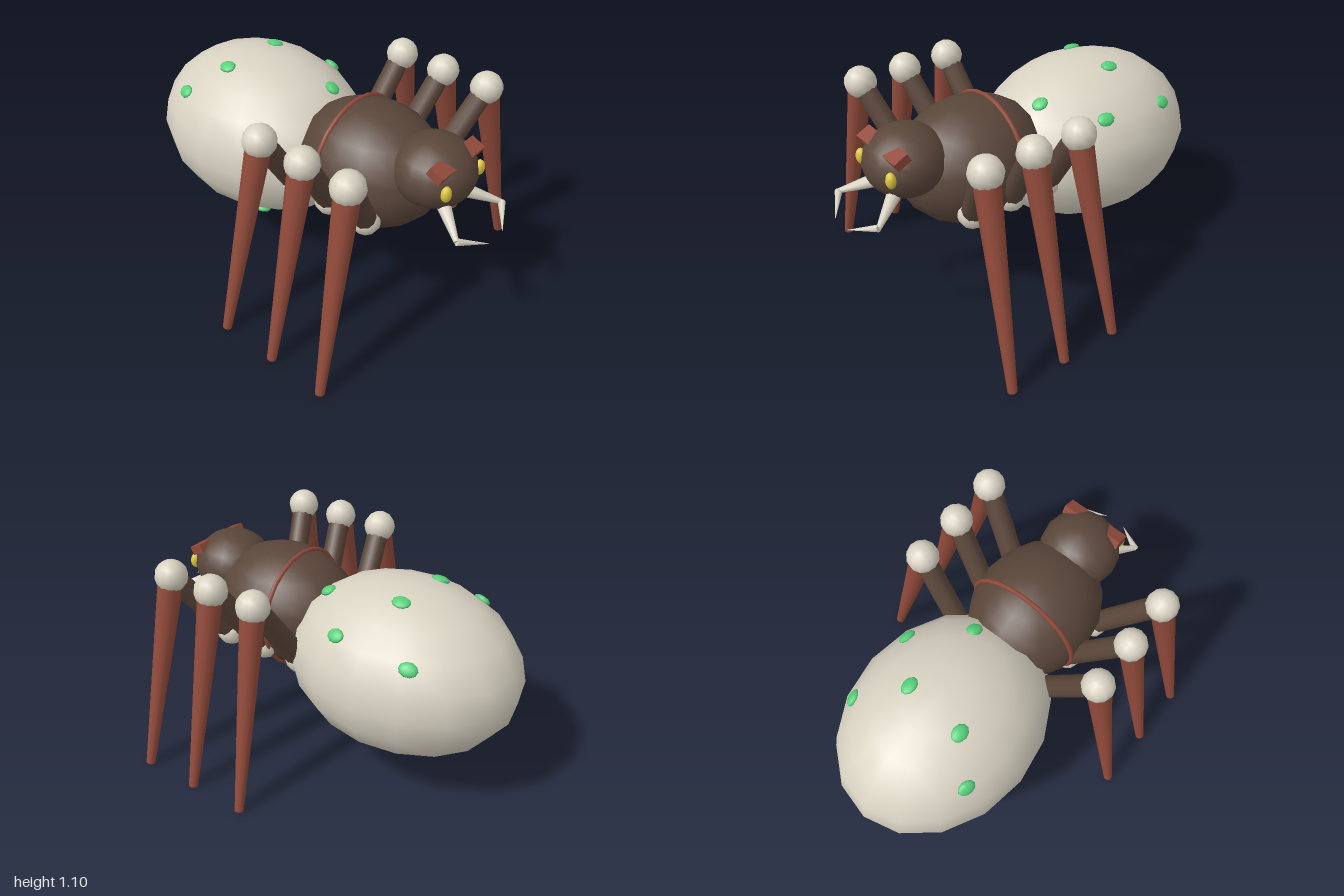
import * as THREE from 'three';

const mat = (name, color) => {
  const m = new THREE.MeshStandardMaterial({ color });
  m.name = name;
  return m;
};

export function createModel() {
  const brown = mat('darkBrown', 0x5a463a);
  const bone = mat('bone', 0xd8d2c2);
  const rust = mat('rust', 0x924b3b);
  const green = mat('green', 0x55d07a);
  const yellow = mat('yellow', 0xdcc640);

  const model = new THREE.Group();
  model.name = 'spider';

  const add = (parent, name, geometry, material, position = [0, 0, 0]) => {
    const mesh = new THREE.Mesh(geometry, material);
    mesh.name = name;
    mesh.position.set(...position);
    parent.add(mesh);
    return mesh;
  };
  const ellipsoid = (rx, ry, rz, w = 16, h = 10) => new THREE.SphereGeometry(1, w, h).scale(rx, ry, rz);
  const UP = new THREE.Vector3(0, 1, 0);

  // Tapered limb from point a (radius ra) to point b (radius rb)
  const limb = (parent, name, a, b, ra, rb, material, sides = 10) => {
    const va = new THREE.Vector3(...a);
    const dir = new THREE.Vector3(...b).sub(va);
    const mesh = add(parent, name, new THREE.CylinderGeometry(rb, ra, dir.length(), sides), material);
    mesh.position.copy(va).addScaledVector(dir, 0.5);
    mesh.quaternion.setFromUnitVectors(UP, dir.normalize());
  };

  // Body
  const centre = [0, 0.64, -0.41];
  const radii = [0.47, 0.42, 0.59];
  add(model, 'abdomen', ellipsoid(...radii), bone, centre);
  add(model, 'thorax', ellipsoid(0.312, 0.305, 0.38, 16, 12), brown, [0, 0.735, 0.3]);
  add(model, 'thoraxBand', new THREE.TorusGeometry(0.3, 0.011, 6, 24), rust, [0, 0.735, 0.2]);
  add(model, 'head', ellipsoid(0.2, 0.168, 0.2, 16, 10), brown, [0, 0.86, 0.65]);
  const brow = add(model, 'brow', new THREE.BoxGeometry(0.325, 0.045, 0.075), rust, [0, 0.957, 0.755]);
  brow.rotation.x = 0.45;

  // Spots: flattened buttons on the abdomen, given as x, z and top (1) or underside (-1)
  const spots = [
    [-0.33, -0.63, 1], [0.35, -0.63, 1], [-0.175, -0.48, 1], [0.135, -0.455, 1], [0.345, -0.25, 1],
    [0.105, -0.04, 1], [0.155, -0.315, -1], [0.015, -0.33, -1], [-0.24, -0.22, -1],
  ];
  const spotGroup = new THREE.Group();
  spotGroup.name = 'spots';
  spotGroup.position.set(...centre);
  spotGroup.scale.set(...radii);
  model.add(spotGroup);
  for (const [x, z, side] of spots) {
    const u = x / radii[0];
    const w = (z - centre[2]) / radii[2];
    const n = new THREE.Vector3(u, side * Math.sqrt(1 - u * u - w * w), w);
    const spot = add(spotGroup, 'spot', ellipsoid(0.078, 0.04, 0.078, 10, 6), green, n.toArray());
    spot.quaternion.setFromUnitVectors(UP, n);
  }

  for (const s of [1, -1]) {
    const sideName = s > 0 ? 'left' : 'right';

    // Eyes and fangs
    add(model, sideName + 'Eye', ellipsoid(0.027, 0.04, 0.024, 10, 8), yellow, [s * 0.13, 0.87, 0.803]);
    const elbow = [s * 0.182, 0.698, 0.91];
    limb(model, sideName + 'FangBase', [s * 0.08, 0.755, 0.77], elbow, 0.034, 0.012, bone, 8);
    limb(model, sideName + 'FangTip', elbow, [s * 0.055, 0.655, 0.998], 0.018, 0.001, bone, 8);

    // Three legs on each side, fanning out along z
    for (const i of [-1, 0, 1]) {
      const leg = new THREE.Group();
      leg.name = sideName + ['Rear', 'Middle', 'Front'][i + 1] + 'Leg';
      model.add(leg);
      const hip = [s * 0.25, 0.62, 0.25 + i * 0.22];
      const knee = [s * 0.514, 1.017, 0.327 + i * 0.25];
      const foot = [s * 0.758, 0.007, 0.333 + i * 0.303];
      add(leg, 'hipJoint', ellipsoid(0.072, 0.072, 0.072, 10, 8), bone, hip);
      limb(leg, 'upperLeg', hip, knee, 0.056, 0.054, brown);
      add(leg, 'kneeJoint', ellipsoid(0.08, 0.08, 0.08, 12, 8), bone, knee);
      limb(leg, 'lowerLeg', knee, foot, 0.062, 0.023, rust);
    }
  }
  return model;
}
